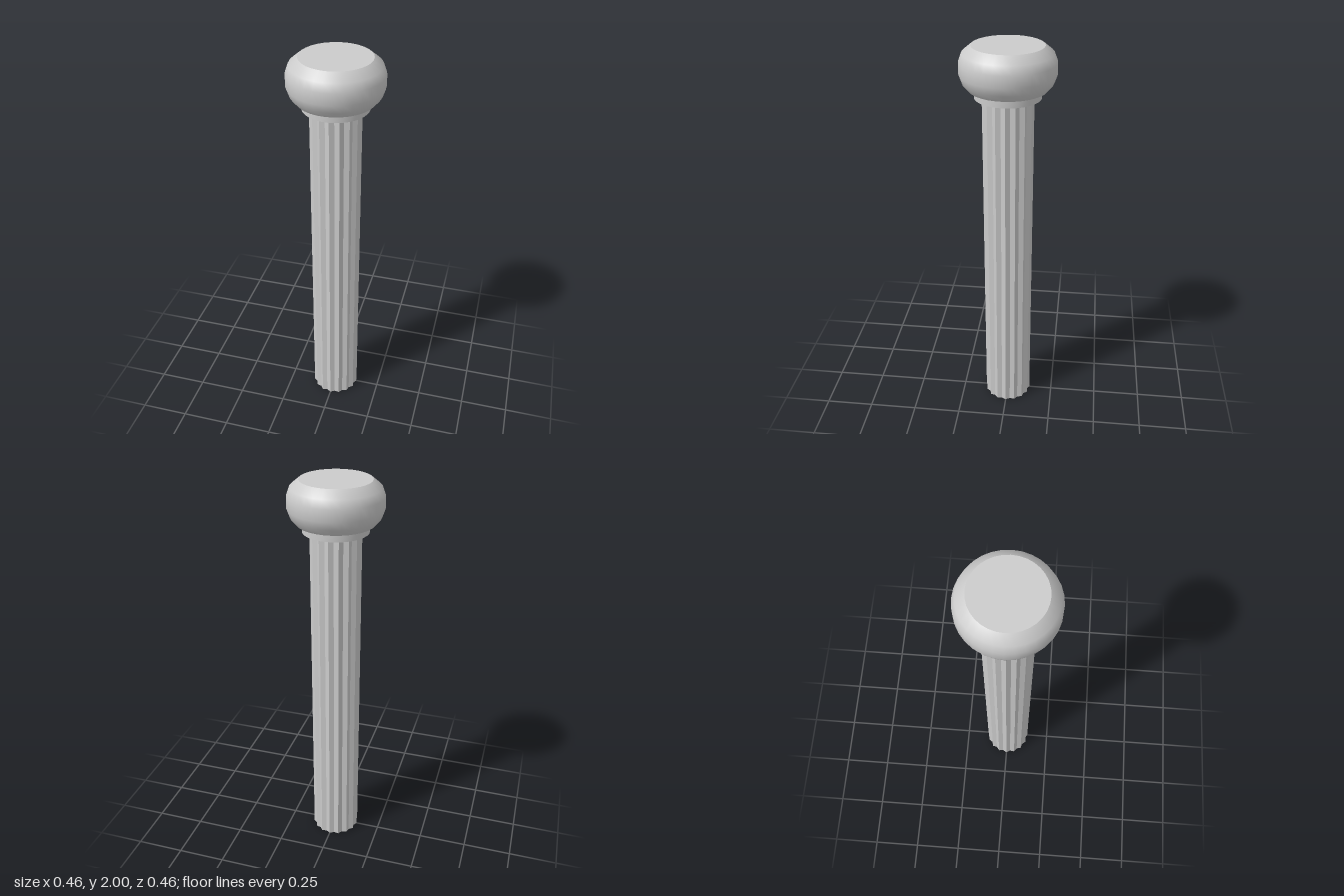
import * as THREE from 'three';
import { toCreasedNormals } from 'three/addons/utils/BufferGeometryUtils.js';

const material = new THREE.MeshStandardMaterial({ color: 0xcccccc });

function addPart(group, name, geometry, crease) {
  const mesh = new THREE.Mesh(toCreasedNormals(geometry, crease), material);
  mesh.name = name;
  group.add(mesh);
}

export function createModel() {
  const group = new THREE.Group();
  group.name = 'column';

  // Fluted shaft: 16 ridges with a valley between each pair
  const flutes = 16;
  const outline = [];
  for (let i = 0; i < flutes * 2; i++) {
    const a = (i / flutes) * Math.PI;
    const r = i % 2 ? 0.114 : 0.125;
    outline.push(new THREE.Vector2(Math.sin(a) * r, Math.cos(a) * r));
  }
  const shaft = new THREE.ExtrudeGeometry(new THREE.Shape(outline), { depth: 1.76, bevelEnabled: false });
  shaft.rotateX(-Math.PI / 2);
  addPart(group, 'shaft', shaft, 0.2);

  // Neck ring between shaft and capital
  const neck = new THREE.CylinderGeometry(0.16, 0.16, 0.045, 32);
  neck.translate(0, 1.7775, 0);
  addPart(group, 'neckRing', neck, 0.6);

  // Rounded cushion capital with flat top and bottom
  const profile = [
    [0, 1.796], [0.188, 1.796], [0.215, 1.828], [0.229, 1.868],
    [0.229, 1.925], [0.214, 1.965], [0.171, 2], [0, 2],
  ].map(([x, y]) => new THREE.Vector2(x, y));
  addPart(group, 'capital', new THREE.LatheGeometry(profile, 32), 0.6);

  return group;
}
